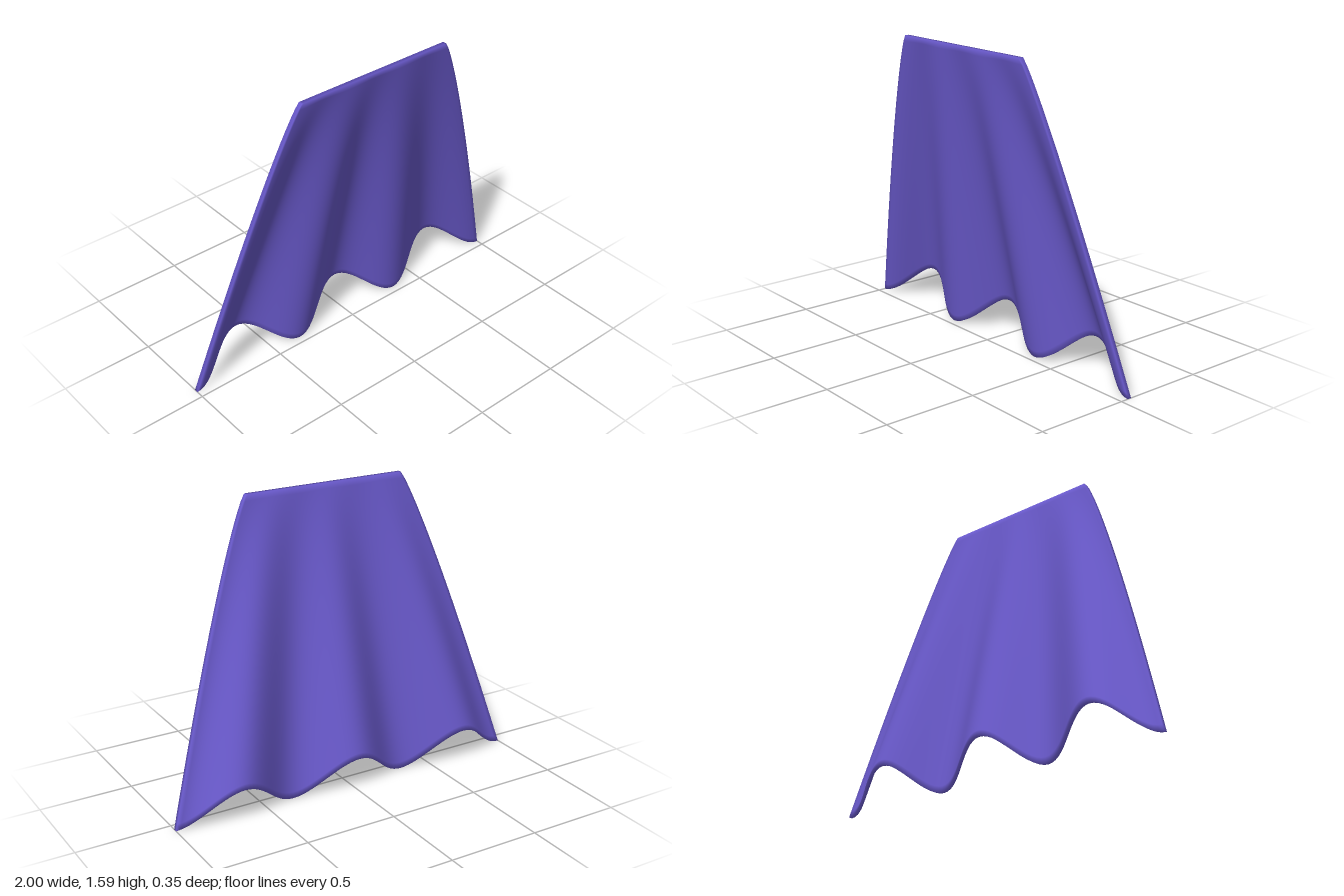
import * as THREE from 'three';

const HEIGHT = 1.585, TOP_HALF = 0.45, HEM_HALF = 1, THICKNESS = 0.023;
const COLS = 84, ROWS = 48;

// Point on the cloth: u runs from -1 to 1 across, t from 0 (collar) to 1 (hem).
function clothPoint(u, t, side) {
  const fold = 0.5 + 0.5 * Math.cos(3 * Math.PI * u);
  const x = u * (TOP_HALF + (HEM_HALF - TOP_HALF) * Math.pow(t, 0.85));
  const y = HEIGHT * (1 - t) + 0.187 * fold * t;
  const z = 0.165 - 0.218 * t - 0.113 * fold * t + side * THICKNESS / 2;
  return [x, y, z];
}

// Closed shell: each row is a ring around the front and back of the cloth.
function clothGeometry() {
  const positions = [], index = [];
  const ring = 2 * (COLS + 1);
  for (let i = 0; i <= ROWS; i++) {
    const t = i / ROWS;
    for (let j = 0; j <= COLS; j++) positions.push(...clothPoint(-1 + 2 * j / COLS, t, 1));
    for (let j = COLS; j >= 0; j--) positions.push(...clothPoint(-1 + 2 * j / COLS, t, -1));
  }
  const quad = (a, b, c, d) => index.push(a, b, c, a, c, d);

  // Front, back and side edges
  for (let i = 0; i < ROWS; i++) {
    for (let j = 0; j < ring; j++) {
      const k = (j + 1) % ring, r0 = i * ring, r1 = r0 + ring;
      quad(r0 + j, r1 + j, r1 + k, r0 + k);
    }
  }
  // Collar edge and hem edge
  const hem = ROWS * ring;
  for (let j = 0; j < COLS; j++) {
    const back = ring - 1 - j;
    quad(j, j + 1, back - 1, back);
    quad(hem + back, hem + back - 1, hem + j + 1, hem + j);
  }

  const geometry = new THREE.BufferGeometry();
  geometry.setAttribute('position', new THREE.Float32BufferAttribute(positions, 3));
  geometry.setIndex(index);
  geometry.computeVertexNormals();
  return geometry;
}

export function createModel() {
  const group = new THREE.Group();
  group.name = 'cape';
  const cloth = new THREE.Mesh(clothGeometry(), new THREE.MeshStandardMaterial({ color: 0x6a5acd }));
  cloth.name = 'capeCloth';
  group.add(cloth);
  return group;
}
